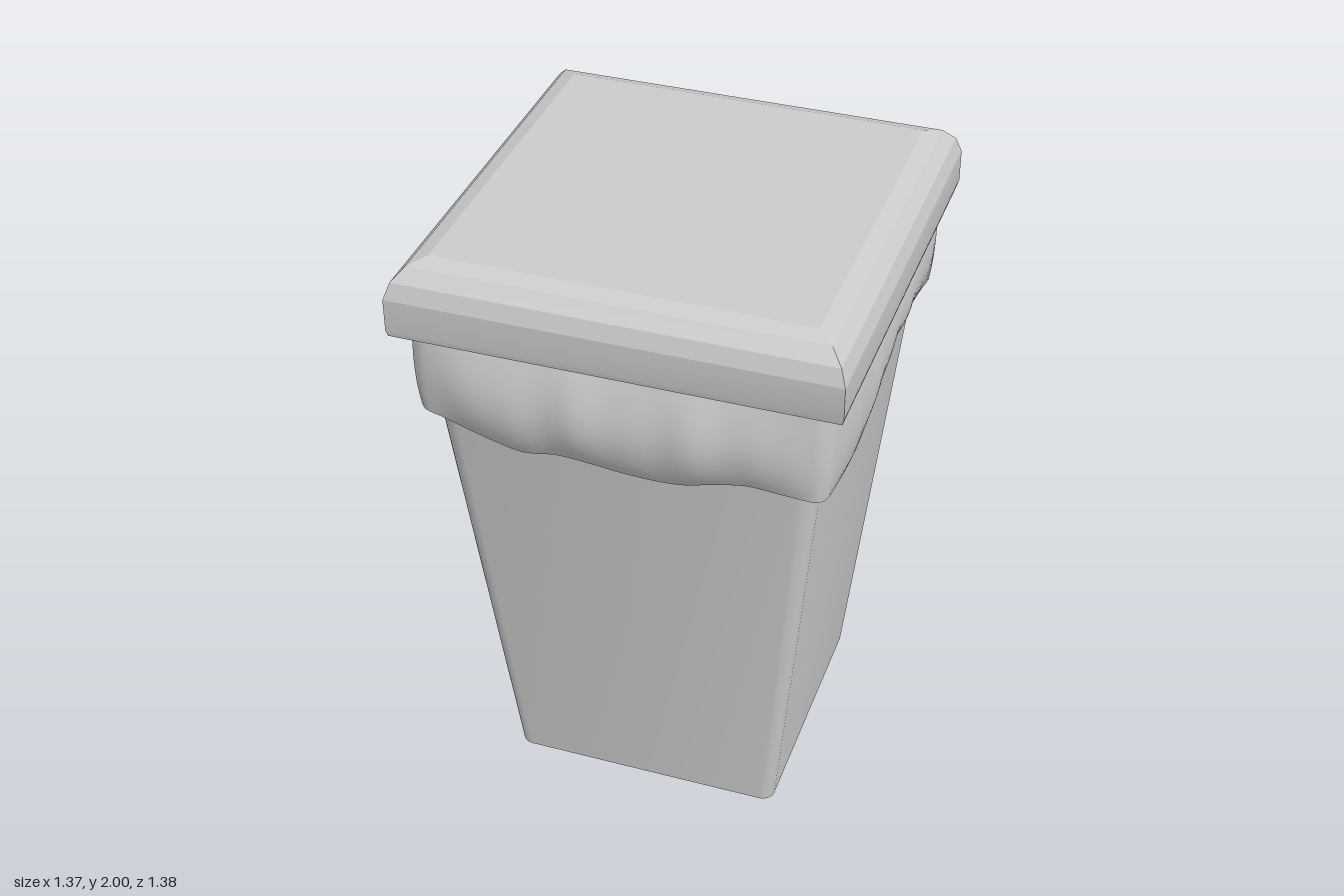
import * as THREE from 'three';
import { toCreasedNormals } from 'three/addons/utils/BufferGeometryUtils.js';

const grey = new THREE.MeshStandardMaterial({ color: 0xcccccc });
const greyThin = new THREE.MeshStandardMaterial({ color: 0xcccccc, side: THREE.DoubleSide });

// Skin closed rings of [x, y, z] points, listed from bottom to top
function loft(rings, caps) {
  const n = rings[0].length;
  const pos = rings.flat(2);
  const index = [];
  for (let r = 0; r < rings.length - 1; r++) {
    for (let i = 0; i < n; i++) {
      const a = r * n + i, b = r * n + (i + 1) % n;
      index.push(a, a + n, b, b, a + n, b + n);
    }
  }
  if (caps) {
    const top = (rings.length - 1) * n;
    for (let i = 1; i < n - 1; i++) {
      index.push(0, i, i + 1, top, top + i + 1, top + i);
    }
  }
  const geo = new THREE.BufferGeometry();
  geo.setAttribute('position', new THREE.Float32BufferAttribute(pos, 3));
  geo.setIndex(index);
  return geo;
}

// Square ring of half-width h with corners rounded by r
function squareRing(h, y, r, seg) {
  const ring = [];
  for (let k = 0; k < 4; k++) {
    const mid = (k + 0.5) * Math.PI / 2;
    const cx = Math.sign(Math.cos(mid)) * (h - r), cz = Math.sign(Math.sin(mid)) * (h - r);
    for (let i = 0; i <= seg; i++) {
      const a = (k + (seg ? i / seg : 0)) * Math.PI / 2;
      ring.push([cx + r * Math.cos(a), y, cz + r * Math.sin(a)]);
    }
  }
  return ring;
}

function add(group, name, geo, mat) {
  const mesh = new THREE.Mesh(geo, mat);
  mesh.name = name;
  group.add(mesh);
}

// Liner sides in order +x, +z, -x, -z: hem heights, outward bulge, fold strength
const linerSides = [
  { bulge: 0.018, fold: 0.002, hem: [1.455, 1.48, 1.5, 1.515, 1.51, 1.52, 1.48, 1.46, 1.42, 1.395, 1.4, 1.415, 1.435] },
  { bulge: 0.04, fold: 0.006, hem: [1.435, 1.44, 1.445, 1.425, 1.4, 1.395, 1.4, 1.41, 1.415, 1.4, 1.42, 1.45, 1.48] },
  { bulge: 0.024, fold: 0.002, hem: [1.49, 1.51, 1.48, 1.45, 1.44, 1.43, 1.43, 1.43, 1.435, 1.435, 1.43, 1.43, 1.435] },
  { bulge: 0.033, fold: 0.007, hem: [1.435, 1.42, 1.44, 1.46, 1.48, 1.44, 1.38, 1.33, 1.35, 1.39, 1.42, 1.44, 1.455] },
];

function linerGeometry() {
  const r = 0.045, half = 0.59, steps = 36, cornerSteps = 3, rows = 12;
  // Columns around the rim: base position, outward direction, hem height and swell
  const columns = [];
  linerSides.forEach((side, k) => {
    const a = k * Math.PI / 2;
    const nx = Math.cos(a), nz = Math.sin(a);
    const curve = new THREE.SplineCurve(side.hem.map((y, i) => new THREE.Vector2(i, y)));
    for (let i = 0; i <= steps; i++) {
      const t = i / steps, s = (2 * t - 1) * half;
      const fade = 1 - Math.pow(2 * t - 1, 4);
      const fold = side.fold * (Math.sin(t * 23 + k) + 0.6 * Math.sin(t * 41 + 2 * k));
      columns.push({
        x: nx * half - nz * s, z: nz * half + nx * s, nx, nz,
        hem: curve.getPoint(t).y, swell: 0.008 + fade * (side.bulge + fold),
      });
    }
    // Rounded corner leading to the next side
    const next = linerSides[(k + 1) % 4].hem[0];
    const cx = (nx - nz) * half, cz = (nz + nx) * half;
    for (let i = 1; i < cornerSteps; i++) {
      const t = i / cornerSteps, b = a + t * Math.PI / 2;
      columns.push({
        x: cx, z: cz, nx: Math.cos(b), nz: Math.sin(b),
        hem: THREE.MathUtils.lerp(side.hem[12], next, t), swell: 0.008,
      });
    }
  });
  const rings = [];
  for (let j = 0; j <= rows; j++) {
    const v = j / rows;
    rings.push(columns.map((c) => {
      const out = r - 0.005 + 0.012 * v + c.swell * Math.sin(Math.PI * Math.pow(v, 0.85));
      return [c.x + c.nx * out, THREE.MathUtils.lerp(c.hem, 1.765, v), c.z + c.nz * out];
    }));
  }
  return loft(rings, false);
}

export function createModel() {
  const model = new THREE.Group();
  model.name = 'bin';

  // Tapered body with rounded corners
  const body = loft([squareRing(0.445, 0, 0.04, 4), squareRing(0.626, 1.78, 0.065, 4)], true);
  add(model, 'body', toCreasedNormals(body, 0.5), grey);

  // Bag folded over the rim, with a wavy hem
  const liner = linerGeometry();
  liner.computeVertexNormals();
  add(model, 'liner', liner, greyThin);

  // Square lid with bevelled edges and mitred corners
  const lidProfile = [[0.668, 1.757], [0.68, 1.765], [0.685, 1.785], [0.685, 1.89],
    [0.667, 1.942], [0.63, 1.983], [0.58, 2]];
  const lid = loft(lidProfile.map(([h, y]) => squareRing(h, y, 0, 0)), true);
  add(model, 'lid', toCreasedNormals(lid, 0.3), grey);

  return model;
}
